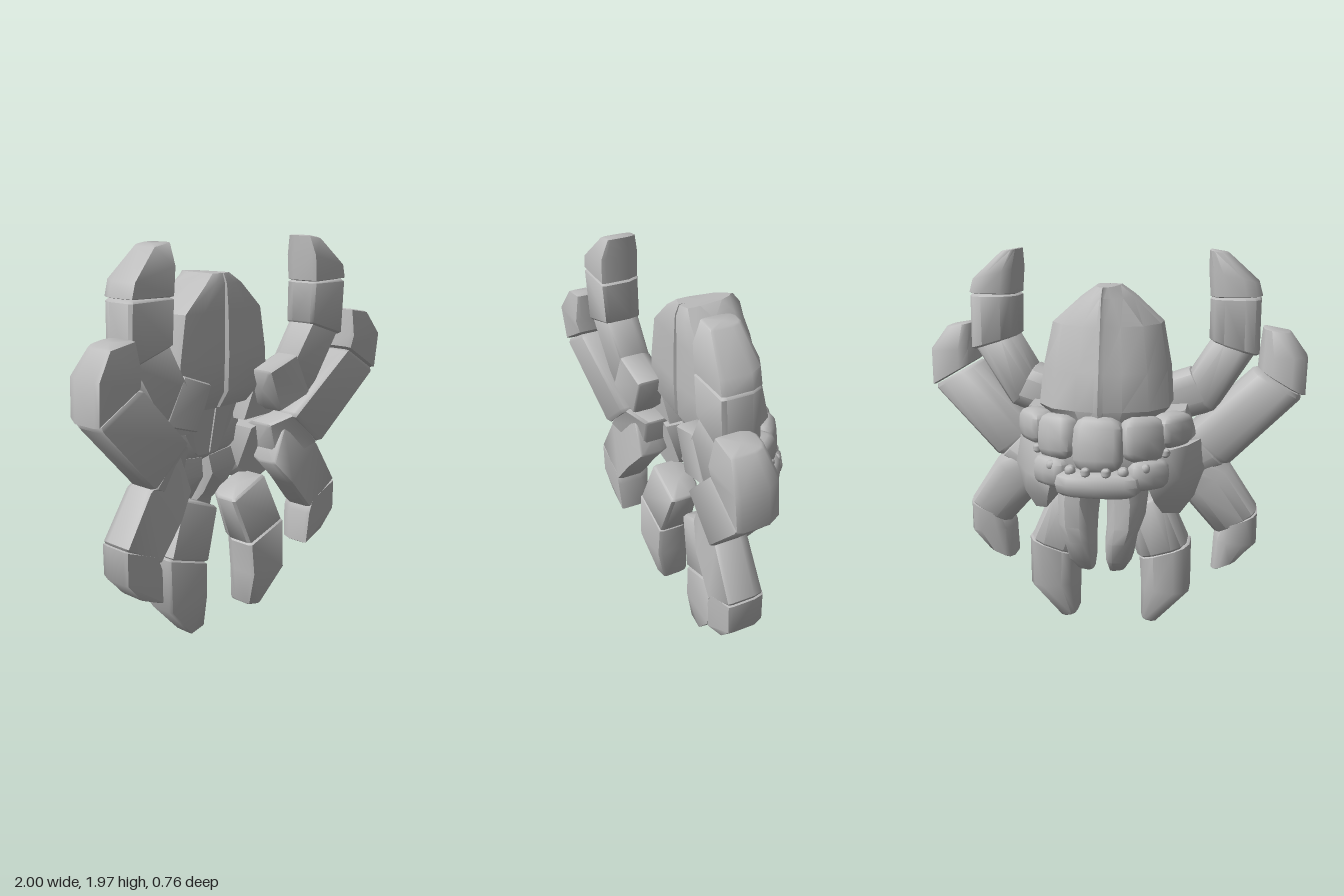
import * as THREE from 'three';
import { toCreasedNormals } from 'three/addons/utils/BufferGeometryUtils.js';
import { ConvexGeometry } from 'three/addons/geometries/ConvexGeometry.js';

const grey = new THREE.MeshStandardMaterial({ color: 0xbcbcbc });
grey.name = 'stone grey';

function add(parent, name, geometry, crease = 0.85) {
  const mesh = new THREE.Mesh(toCreasedNormals(geometry, crease), grey);
  mesh.name = name;
  parent.add(mesh);
  return mesh;
}

// Closed skin over a list of rings ([x, y, z] points), turned outward by its signed volume
function loft(rings) {
  const n = rings[0].length, pos = rings.flat(2), index = [];
  for (let r = 0; r < rings.length - 1; r++)
    for (let i = 0; i < n; i++) {
      const j = (i + 1) % n, a = r * n + i, b = r * n + j;
      index.push(a, b, b + n, a, b + n, a + n);
    }
  [0, rings.length - 1].forEach((r, end) => {
    const c = pos.length / 3;
    for (let k = 0; k < 3; k++) pos.push(rings[r].reduce((s, p) => s + p[k], 0) / n);
    for (let i = 0; i < n; i++) {
      const a = r * n + i, b = r * n + (i + 1) % n;
      index.push(...(end ? [a, b, c] : [b, a, c]));
    }
  });
  const at = i => new THREE.Vector3(...pos.slice(i * 3, i * 3 + 3));
  let volume = 0;
  for (let i = 0; i < index.length; i += 3)
    volume += at(index[i]).dot(at(index[i + 1]).cross(at(index[i + 2])));
  if (volume < 0) index.reverse();
  const g = new THREE.BufferGeometry();
  g.setAttribute('position', new THREE.Float32BufferAttribute(pos, 3));
  g.setIndex(index);
  return g;
}

// Limb cross-section: flat underside, rounded back. [fraction across, fraction of depth]
const SECTION = [[0.03, 1], [0.97, 1], [1, 0.9], [1, 0.35], [0.9, 0.1], [0.7, 0], [0.3, 0], [0.1, 0.1], [0, 0.35], [0, 0.9]];

// Limb from stations [ax, ay, bx, by, zBack, zFront], with slightly bevelled ends
function limb(stations, side) {
  const mix = (p, q, t) => p.map((v, i) => v + (q[i] - v) * t);
  const shrink = ([ax, ay, bx, by, z0, z1]) => {
    const k = 0.05, d = (z1 - z0) * k;
    return [ax + (bx - ax) * k, ay + (by - ay) * k, bx + (ax - bx) * k, by + (ay - by) * k, z0 + d, z1 - d];
  };
  const n = stations.length, s = stations.slice();
  s[0] = mix(stations[0], stations[1], 0.04);
  s[n - 1] = mix(stations[n - 1], stations[n - 2], 0.04);
  const all = [shrink(stations[0]), ...s, shrink(stations[n - 1])];
  return loft(all.map(([ax, ay, bx, by, z0, z1]) =>
    SECTION.map(([t, d]) => [side * (ax + (bx - ax) * t), ay + (by - ay) * t, z0 + (z1 - z0) * d])));
}

const hull = (points, side) =>
  new ConvexGeometry(points.map(([x, y, z]) => new THREE.Vector3(x * side, y, z)));

// Rounded block: a sphere pushed towards a box
function block(parent, name, [x, y, z], [w, h, d], turn = 0, tilt = 0) {
  const g = new THREE.SphereGeometry(1, 12, 8), p = g.attributes.position;
  const push = v => Math.sign(v) * Math.pow(Math.abs(v), 0.6);
  for (let i = 0; i < p.count; i++)
    p.setXYZ(i, push(p.getX(i)) * w, push(p.getY(i)) * h, push(p.getZ(i)) * d);
  const mesh = add(parent, name, g);
  mesh.position.set(x, y, z);
  mesh.rotation.set(tilt, turn, 0);
}

const LEGS = {
  upperLeg: [
    [[0.21, 1.3, 0.3, 1.08, 0.1, 0.27], [0.41, 1.37, 0.53, 1.15, 0.1, 0.285]],
    [[0.37, 1.3, 0.53, 1.14, 0.1, 0.28], [0.52, 1.535, 0.735, 1.46, 0.11, 0.3]],
    [[0.5, 1.52, 0.755, 1.44, 0.1, 0.31], [0.5, 1.735, 0.755, 1.735, 0.1, 0.32]],
    [[0.5, 1.735, 0.76, 1.74, 0.1, 0.32], [0.49, 1.87, 0.74, 1.81, 0.1, 0.32], [0.49, 1.97, 0.58, 1.955, 0.13, 0.28]],
  ],
  outerLeg: [
    [[0.3, 1.0, 0.36, 0.76, 0, 0.2], [0.42, 1.06, 0.6, 0.87, 0.08, 0.29]],
    [[0.39, 1.05, 0.61, 0.865, 0.08, 0.3], [0.74, 1.37, 0.985, 1.23, 0.14, 0.37]],
    [[0.75, 1.375, 0.995, 1.23, 0.14, 0.37], [0.755, 1.44, 1, 1.43, 0.15, 0.385], [0.77, 1.58, 0.91, 1.555, 0.19, 0.36]],
  ],
  lowerOuterLeg: [
    [[0.38, 0.98, 0.31, 0.79, 0.05, 0.23], [0.62, 0.86, 0.41, 0.67, 0.07, 0.27], [0.775, 0.62, 0.56, 0.5, 0.07, 0.28]],
    [[0.775, 0.62, 0.58, 0.54, 0.07, 0.28], [0.775, 0.45, 0.55, 0.47, 0.07, 0.28], [0.68, 0.35, 0.54, 0.29, 0.09, 0.27]],
  ],
  lowerLeg: [
    [[0.06, 0.635, 0.3, 0.73, -0.01, 0.17], [0.16, 0.37, 0.42, 0.45, -0.02, 0.2]],
    [[0.165, 0.37, 0.43, 0.46, -0.01, 0.2], [0.175, 0.2, 0.43, 0.18, 0, 0.21], [0.175, 0.02, 0.26, 0, 0.03, 0.18]],
  ],
};

export function createModel() {
  const model = new THREE.Group();
  model.name = 'spider';

  // Abdomen: faceted shell with a groove down the flat underside and a ridge down the back
  const rings = [
    [1.13, 0.25, 0.11, -0.27], [1.22, 0.33, 0.165, -0.3], [1.4, 0.315, 0.17, -0.265],
    [1.62, 0.275, 0.165, -0.215], [1.75, 0.13, 0.16, -0.18], [1.8, 0.06, 0.14, -0.14],
  ].map(([y, w, f, b]) => {
    const half = [[0.05, f], [0.55, f - 0.006], [0.97, f - 0.015], [1, f - 0.05], [0.99, b + 0.2], [0.72, b + 0.08], [0.35, b + 0.03], [0.07, b + 0.012]];
    const right = half.map(([x, z]) => [x * w, y, z]);
    const left = right.map(([x, yy, z]) => [-x, yy, z]).reverse();
    return [[0, y, f - 0.035], ...right, [0, y, b], ...left];
  });
  add(model, 'abdomen', loft(rings), 0.6);

  // Body between the legs
  block(model, 'thorax', [0, 1.0, -0.12], [0.31, 0.18, 0.17]);
  block(model, 'headPlate', [0, 1.06, -0.265], [0.13, 0.14, 0.08], 0, 0.2);
  block(model, 'browBand', [0, 0.87, -0.27], [0.22, 0.07, 0.11]);

  for (const side of [1, -1]) {
    const half = new THREE.Group();
    half.name = side > 0 ? 'leftSide' : 'rightSide';
    model.add(half);

    for (const [name, segments] of Object.entries(LEGS)) {
      const leg = new THREE.Group();
      leg.name = name;
      half.add(leg);
      segments.forEach((s, i) => add(leg, name + 'Segment' + (i + 1), limb(s, side)));
    }

    // Breast plate half, with a crease at the middle
    add(half, 'breastPlate', hull([[0.005, 1.16, 0.1], [0.2, 1.13, 0.06], [0.14, 0.94, 0.03], [0.07, 0.88, 0.04],
      [0.005, 0.88, 0.05], [0.005, 1.16, -0.1], [0.2, 1.13, -0.1], [0.1, 0.88, -0.1]], side), 0.4);

    // Leg roots wrapping round the body
    add(half, 'upperLegRoot', hull([[0.2, 1.03, 0.11], [0.45, 1.04, 0.12], [0.4, 1.2, 0.13], [0.25, 1.19, 0.13],
      [0.2, 1.03, -0.08], [0.43, 1.04, -0.03], [0.4, 1.19, -0.03], [0.2, 1.18, -0.08]], side));
    add(half, 'lowerLegRoot', hull([[0.2, 1, -0.21], [0.32, 1.01, -0.16], [0.42, 1.02, -0.06], [0.48, 1.02, 0.1], [0.27, 0.97, 0.1],
      [0.24, 0.86, -0.27], [0.39, 0.87, -0.16], [0.5, 0.87, 0.07], [0.45, 0.72, 0.08], [0.43, 0.73, -0.02],
      [0.38, 0.64, 0], [0.36, 0.67, 0.06], [0.3, 0.67, -0.1], [0.27, 0.76, -0.21], [0.22, 0.76, 0.05]], side));

    // Jaw: deep at the root, narrowing to a blunt tip
    add(half, 'jaw', limb([[0.02, 0.86, 0.2, 0.88, -0.3, 0.02], [0.03, 0.76, 0.22, 0.78, -0.315, 0.04],
      [0.035, 0.64, 0.21, 0.65, -0.325, -0.03], [0.03, 0.56, 0.18, 0.57, -0.32, -0.1],
      [0.03, 0.45, 0.16, 0.46, -0.28, -0.11], [0.04, 0.38, 0.12, 0.39, -0.21, -0.11]], side), 0.7);

    // Cheek plates and eyes
    block(half, 'cheekPlate', [side * 0.2, 1.08, -0.2], [0.12, 0.115, 0.085], side * -0.6, 0.12);
    block(half, 'outerCheekPlate', [side * 0.34, 1.11, -0.1], [0.11, 0.085, 0.075], side * -0.9);
    block(half, 'browEnd', [side * 0.22, 0.91, -0.2], [0.11, 0.08, 0.1], side * -0.6);
    for (const [x, y, z, r] of [[0.05, 0.94, -0.35, 0.025], [0.13, 0.94, -0.325, 0.028], [0.23, 0.95, -0.28, 0.028], [0.32, 1.01, -0.19, 0.024]]) {
      const eye = add(half, 'eye', new THREE.SphereGeometry(r, 12, 8), 1);
      eye.position.set(side * x, y, z);
    }
  }
  return model;
}
